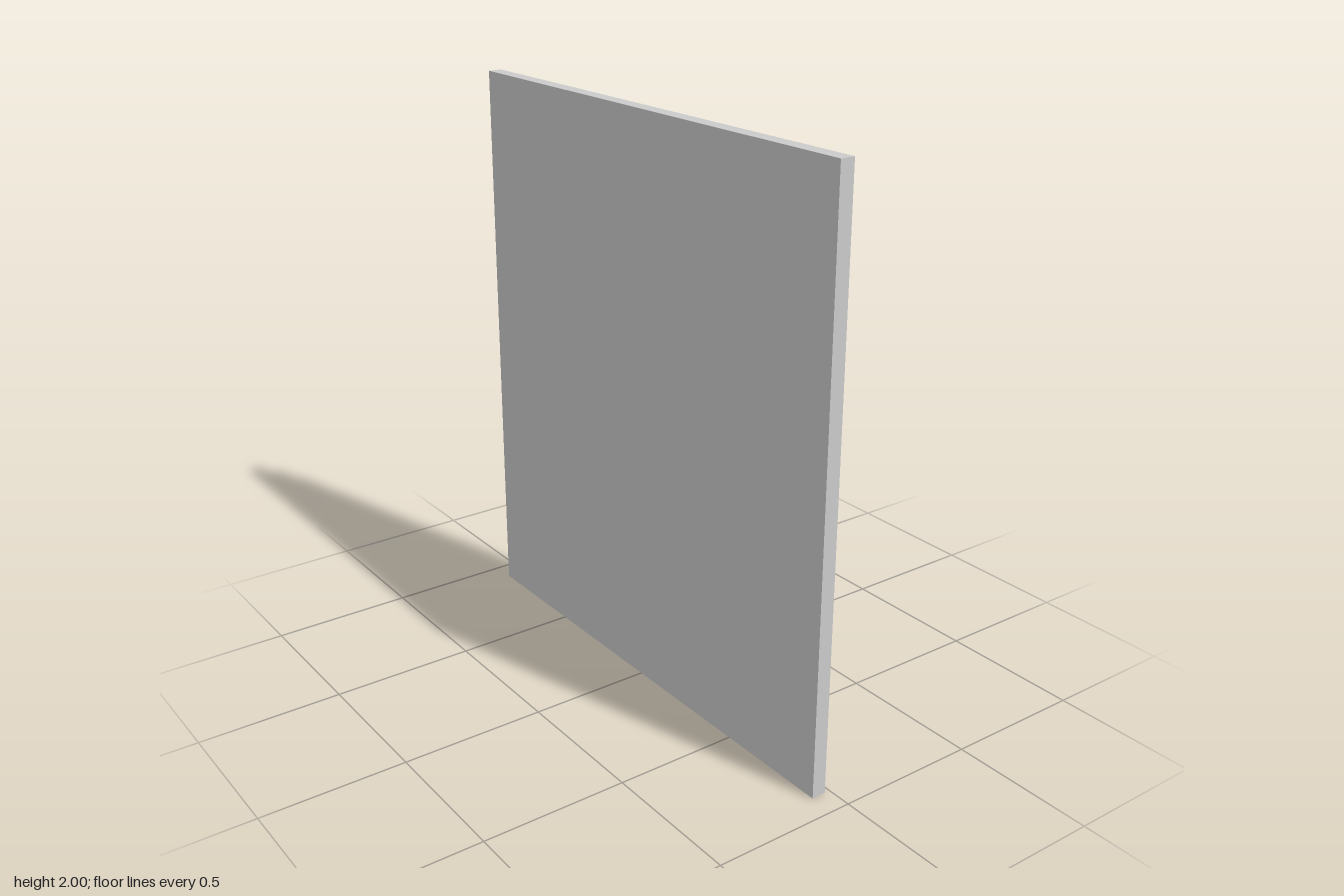
import * as THREE from 'three';
import { toCreasedNormals } from 'three/addons/utils/BufferGeometryUtils.js';

const HALF_H = 1, HALF_D = 0.915; // half height (y) and half width (z)
const BACK = -0.07, BOARD = -0.02, CREST = 0.07;

// Moulding profile as [inset from the outer edge, x], from outside to inside
function mouldingProfile() {
  const points = [[0.02, BOARD], [0.07, 0.037], [0.1, 0.037], [0.135, CREST]];
  // Rounded inner lip
  const sweep = 1.35, r = 0.06 / Math.sin(sweep), steps = 8;
  for (let i = 1; i <= steps; i++) {
    const a = sweep * i / steps;
    points.push([0.135 + r * Math.sin(a), CREST - r * (1 - Math.cos(a))]);
  }
  points.push([0.195, BOARD]); // straight drop to the panel
  return points;
}

// Mitred rail between two corners, each given as [y sign, z sign]
function railGeometry(profile, from, to) {
  const point = ([inset, x], [sy, sz]) =>
    [x, HALF_H + sy * (HALF_H - inset), sz * (HALF_D - inset)];
  const positions = [];
  for (let i = 0; i < profile.length - 1; i++) {
    const a = point(profile[i], from), b = point(profile[i], to);
    const c = point(profile[i + 1], to), d = point(profile[i + 1], from);
    positions.push(...a, ...b, ...c, ...a, ...c, ...d);
  }
  const geometry = new THREE.BufferGeometry();
  geometry.setAttribute('position', new THREE.Float32BufferAttribute(positions, 3));
  return toCreasedNormals(geometry, 0.24);
}

export function createModel() {
  const model = new THREE.Group();
  model.name = 'framedPanel';
  const material = new THREE.MeshStandardMaterial({ color: 0xcccccc });

  // Flat board: outer rim, back and recessed panel
  const board = new THREE.Mesh(
    new THREE.BoxGeometry(BOARD - BACK, HALF_H * 2, HALF_D * 2), material);
  board.position.set((BACK + BOARD) / 2, HALF_H, 0);
  board.name = 'backBoard';
  model.add(board);

  // Four mitred rails, facing +x
  const frame = new THREE.Group();
  frame.name = 'frame';
  const corners = [[-1, -1], [1, -1], [1, 1], [-1, 1]];
  const names = ['rightRail', 'topRail', 'leftRail', 'bottomRail'];
  const profile = mouldingProfile();
  names.forEach((name, i) => {
    const rail = new THREE.Mesh(
      railGeometry(profile, corners[i], corners[(i + 1) % 4]), material);
    rail.name = name;
    frame.add(rail);
  });
  model.add(frame);
  return model;
}
